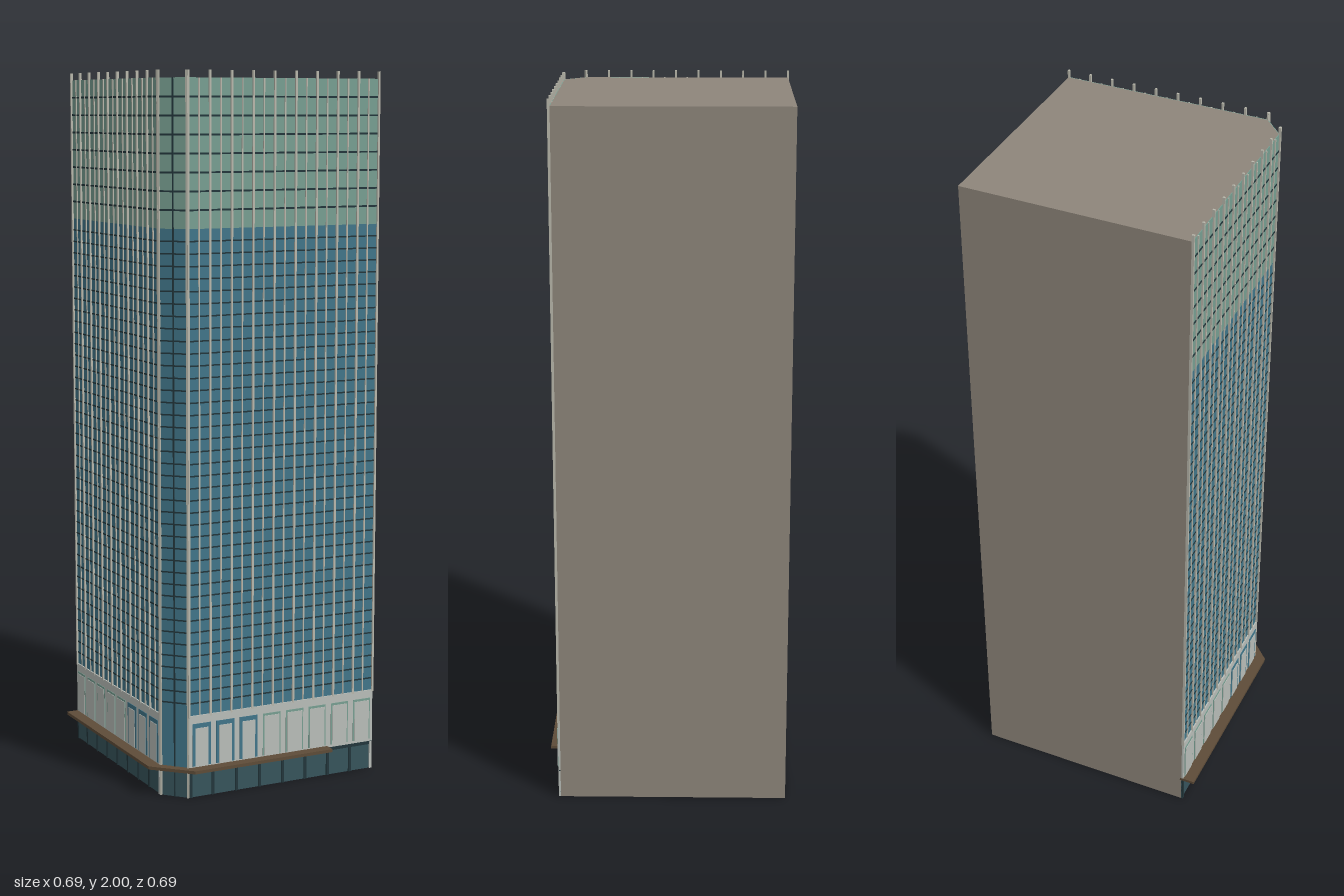
import * as THREE from 'three';

const mat = (name, color) => {
  const m = new THREE.MeshStandardMaterial({ color });
  m.name = name;
  return m;
};

export function createModel() {
  const concrete = mat('concrete', 0x8e867b);
  const blueGlass = mat('blue glass', 0x41768a);
  const greenGlass = mat('green glass', 0x789f92);
  const darkMetal = mat('dark metal', 0x22363b);
  const paleStone = mat('pale stone', 0xb9beb9);
  const paleFin = mat('pale fin', 0xb9b8ac);
  const shopGlass = mat('shop glass', 0x37545c);
  const bronze = mat('bronze canopy', 0x5e4c38);

  const model = new THREE.Group();
  model.name = 'tower';

  // Extrude a plan outline [x, z] between two heights
  const slab = (name, plan, y0, y1, material) => {
    const shape = new THREE.Shape(plan.map(([x, z]) => new THREE.Vector2(x, z)));
    const geo = new THREE.ExtrudeGeometry(shape, { depth: y1 - y0, bevelEnabled: false });
    geo.rotateX(Math.PI / 2).translate(0, y1, 0);
    const mesh = new THREE.Mesh(geo, material);
    mesh.name = name;
    model.add(mesh);
  };

  // Box given by its extents, in a facade's own frame (x along wall, z outward)
  const box = (parent, name, x0, x1, y0, y1, z0, z1, material) => {
    const mesh = new THREE.Mesh(new THREE.BoxGeometry(x1 - x0, y1 - y0, z1 - z0), material);
    mesh.position.set((x0 + x1) / 2, (y0 + y1) / 2, (z0 + z1) / 2);
    mesh.name = name;
    parent.add(mesh);
  };

  // Core with one chamfered corner
  slab('core', [[-0.305, -0.34], [0.34, -0.34], [0.34, 0.305], [-0.25, 0.305], [-0.305, 0.245]],
    0, 1.98, concrete);

  // Flat canopy wrapping the chamfered corner
  slab('canopy', [[-0.345, -0.34], [-0.3, -0.34], [-0.3, 0.243], [-0.248, 0.3],
    [0.19, 0.3], [0.19, 0.343], [-0.248, 0.343], [-0.345, 0.245]], 0.078, 0.087, bronze);

  // Facade from one plan point to another
  const facade = (name, a, b, bays, windows, blueFirst) => {
    const g = new THREE.Group();
    g.name = name;
    const dx = b[0] - a[0], dz = b[1] - a[1], L = Math.hypot(dx, dz);
    g.position.set(a[0], 0, a[1]);
    g.rotation.y = -Math.atan2(dz, dx);
    model.add(g);

    // Glass skins
    box(g, 'shopGlass', 0, L, 0, 0.08, 0, 0.002, shopGlass);
    box(g, 'lowerGlass', 0, L, windows ? 0.235 : 0.08, 1.58, 0, 0.002, blueGlass);
    box(g, 'upperGlass', 0, L, 1.58, 1.98, 0, 0.002, greenGlass);

    // Floor bands
    for (let i = 0; i < 39; i++) {
      const y = 0.27 + i * 0.0336;
      box(g, 'floorBand', 0, L, y - 0.002, y + 0.002, 0, 0.0035, darkMetal);
    }
    for (let i = 0; i < 7; i++) {
      const y = 1.63 + i * 0.05;
      box(g, 'upperFloorBand', 0, L, y - 0.0025, y + 0.0025, 0, 0.0035, darkMetal);
    }

    // Tall fins at each bay, with a thinner one between
    const base = windows ? 0.23 : 0;
    for (let i = 0; i <= bays * 2; i++) {
      const x = (i * L) / (bays * 2), main = i % 2 === 0;
      const w = main ? 0.0028 : 0.002;
      if (windows || main) {
        box(g, 'fin', x - w, x + w, base, main ? 2 : 1.98, 0, main ? 0.007 : 0.005, paleFin);
      } else {
        box(g, 'darkFin', x - w, x + w, base, 1.98, 0, 0.005, darkMetal);
      }
    }
    if (!windows) return;

    // Podium with framed panels
    box(g, 'podium', 0, L, 0.082, 0.235, 0, 0.006, paleStone);
    const step = L / windows;
    for (let i = 0; i < windows; i++) {
      const c = (i + 0.5) * step, blue = blueFirst(i);
      const frame = blue ? blueGlass : greenGlass;
      const edge = blue ? 0.008 : 0.004;
      box(g, 'windowFrame', c - 0.028, c + 0.028, 0.09, 0.212, 0.005, 0.0075, frame);
      box(g, 'windowPanel', c - 0.028 + edge, c + 0.028 - edge, 0.09, 0.212 - edge * 1.6,
        0.006, 0.009, paleStone);
    }

    // Shopfront posts and head rail
    for (let i = 0; i <= windows; i++) {
      const x = Math.min(Math.max(i * step, 0.004), L - 0.004);
      box(g, 'shopPost', x - 0.004, x + 0.004, 0, 0.08, 0, 0.006, i === windows ? paleStone : darkMetal);
    }
    box(g, 'shopRail', 0, L, 0.072, 0.082, 0, 0.005, darkMetal);
  };

  facade('frontFacade', [-0.25, 0.305], [0.34, 0.305], 9, 8, (i) => i < 3);
  facade('rightFacade', [-0.305, -0.34], [-0.305, 0.245], 9, 8, (i) => i > 4);
  facade('cornerFacade', [-0.305, 0.245], [-0.25, 0.305], 1, 0);

  return model;
}
